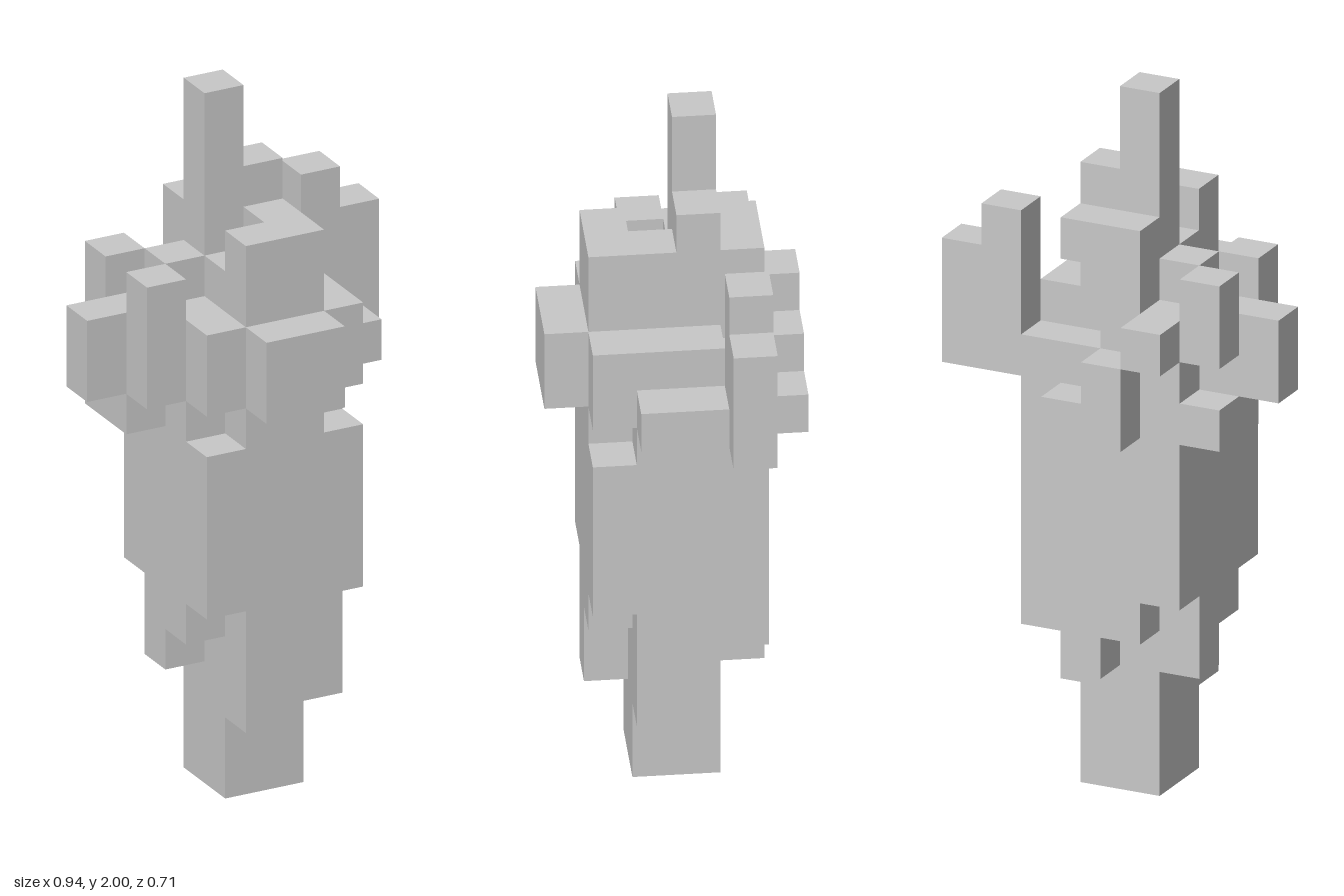
import * as THREE from 'three';

const U = 2 / 17; // size of one block

export function createModel() {
  const stone = new THREE.MeshStandardMaterial({ color: 0xc8c8c8 });
  stone.name = 'lightStoneGrey';
  const model = new THREE.Group();
  model.name = 'blockFigure';

  // Each box is given in block units: x0, x1, y0, y1, z0, z1
  const part = (name, boxes) => {
    const group = new THREE.Group();
    group.name = name;
    boxes.forEach(([x0, x1, y0, y1, z0, z1], i) => {
      const geo = new THREE.BoxGeometry((x1 - x0) * U, (y1 - y0) * U, (z1 - z0) * U);
      const mesh = new THREE.Mesh(geo, stone);
      mesh.name = `${name}Block${i + 1}`;
      mesh.position.set((x0 + x1) / 2 * U, (y0 + y1) / 2 * U, (z0 + z1) / 2 * U);
      group.add(mesh);
    });
    model.add(group);
  };

  part('base', [[-1, 1, 0, 5, -1, 1]]);

  // Ragged lower edge hanging under the torso
  part('lowerFringe', [
    [-1, 0, 2, 5, 1, 2],
    [0, 1, 4, 5, 1, 2],
    [1, 2, 2, 5, 0, 1],
    [1, 2, 4, 5, -2, 0],
    [0, 1, 3, 5, -2, -1],
    [-1, 0, 4, 5, -2, -1],
    [-2, -1, 3, 5, -1, 0],
    [-2, -1, 4, 5, 0, 1],
  ]);

  // Torso with notched front corners at the top
  part('torso', [
    [-2, 2, 5, 9, -2, 2],
    [-2, 2, 9, 10, -2, 1],
    [-1, 1, 9, 10, 1, 2],
  ]);

  part('head', [
    [-1, 1, 10, 14, -1, 0],
    [0, 1, 10, 14, 0, 1],
    [-1, 0, 10, 13, 0, 1],
    [-1, 1, 10, 14, 1, 2],
    [-1, 0, 10, 14, -2, -1],
    [0, 1, 13, 14, -2, -1],
    [0, 1, 10, 11, -2, -1],
  ]);

  part('spire', [
    [-1, 0, 14, 17, -1, 0],
    [0, 1, 14, 15, -1, 0],
  ]);

  part('frontBlock', [[-1, 1, 10, 12, 2, 3]]);

  part('leftShoulder', [
    [1, 2, 10, 12, -1, 2],
    [1, 2, 10, 11, -2, -1],
    [2, 3, 10, 11, -1, 1],
  ]);

  part('leftArm', [
    [2, 3, 10, 14, -2, -1],
    [3, 4, 10, 13, -2, -1],
  ]);

  part('rightShoulder', [
    [-2, -1, 10, 12, 0, 2],
    [-2, -1, 10, 13, -1, 0],
    [-2, -1, 10, 12, -2, -1],
  ]);

  part('rightArm', [
    [-3, -2, 10, 13, 0, 1],
    [-4, -2, 10, 12, -1, 0],
    [-3, -2, 9, 10, -2, 0],
    [-3, -2, 11, 13, -2, -1],
  ]);

  part('backBlocks', [
    [-1, 1, 9, 10, -3, -2],
    [-1, 0, 10, 11, -3, -2],
    [-2, -1, 11, 12, -3, -2],
  ]);

  return model;
}
